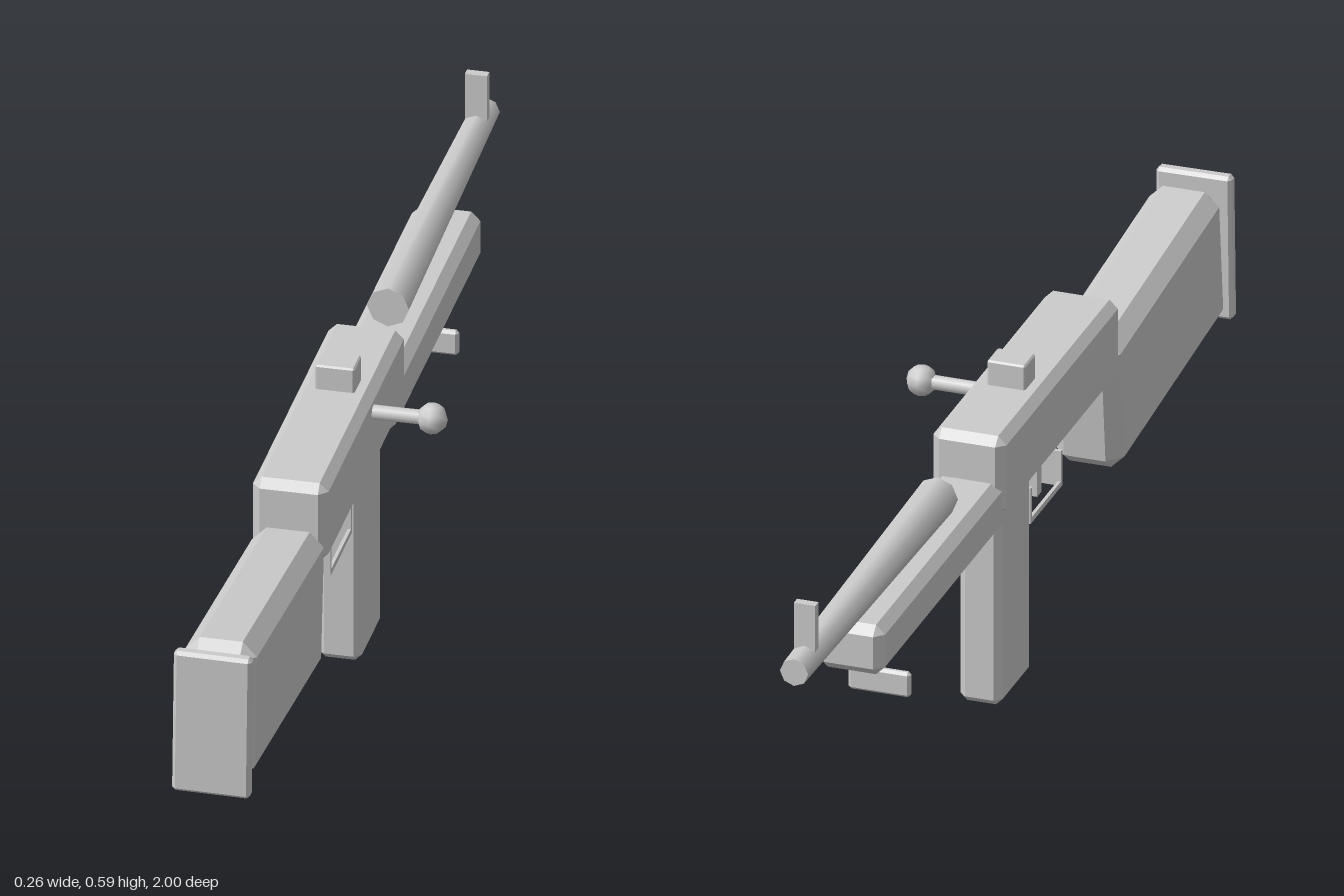
import * as THREE from 'three';
import { ConvexGeometry } from 'three/addons/geometries/ConvexGeometry.js';

const CX = -0.064; // centre plane of the body
const material = new THREE.MeshStandardMaterial({ color: 0xcccccc });

// Box with every edge chamfered by c
function chamferBox(w, h, d, c) {
  const points = [];
  for (const x of [-1, 1]) for (const y of [-1, 1]) for (const z of [-1, 1]) {
    const [a, b, e] = [w / 2, h / 2, d / 2];
    points.push(
      new THREE.Vector3(x * a, y * (b - c), z * (e - c)),
      new THREE.Vector3(x * (a - c), y * b, z * (e - c)),
      new THREE.Vector3(x * (a - c), y * (b - c), z * e));
  }
  return new ConvexGeometry(points);
}

export function createModel() {
  const group = new THREE.Group();

  function add(name, geometry, x, y, z, parent = group) {
    const mesh = new THREE.Mesh(geometry, material);
    mesh.name = name;
    mesh.position.set(x, y, z);
    parent.add(mesh);
    return mesh;
  }
  // Box given by its y and z ranges, optionally chamfered
  function block(name, w, [y0, y1], [z0, z1], c = 0, x = CX, parent = group) {
    const size = [w, y1 - y0, z1 - z0];
    const geometry = c ? chamferBox(...size, c) : new THREE.BoxGeometry(...size);
    return add(name, geometry, x, (y0 + y1) / 2, (z0 + z1) / 2, parent);
  }

  // Body
  block('receiver', 0.13, [0.383, 0.53], [-0.145, 0.435], 0.015);
  block('foreEnd', 0.118, [0.355, 0.447], [-0.73, -0.08], 0.016);
  block('magazine', 0.075, [0, 0.4], [-0.085, 0.07], 0.012);

  // Sloping shoulder stock with its end plate
  add('stock', chamferBox(0.124, 0.25, 0.54, 0.025), CX, 0.345, 0.695).rotation.x = -0.1;
  block('buttPlate', 0.134, [0.235, 0.5], [0.976, 1], 0.006).rotation.z = -0.012;

  // Tapered barrel
  const barrel = new THREE.CylinderGeometry(0.036, 0.025, 0.71, 8).rotateX(Math.PI / 2);
  add('barrel', barrel, CX, 0.483, -0.645);

  // Sights
  block('rearSight', 0.068, [0.52, 0.575], [0.047, 0.1], 0.003);
  block('frontSight', 0.038, [0.495, 0.586], [-0.948, -0.932]);

  // Bolt handle with knob
  const rod = new THREE.CylinderGeometry(0.013, 0.013, 0.11, 8).rotateZ(Math.PI / 2);
  add('boltHandle', rod, 0.035, 0.495, 0.093);
  add('boltKnob', new THREE.SphereGeometry(0.027, 8, 6), 0.102, 0.495, 0.093);

  // Trigger guard: two end plates joined by thin rails
  const guard = new THREE.Group();
  guard.name = 'triggerGuard';
  group.add(guard);
  for (const z of [0.095, 0.245]) {
    block('guardEnd', 0.056, [0.262, 0.326], [z - 0.004, z + 0.004], 0, CX, guard);
  }
  for (const side of [-1, 1]) {
    block('guardRail', 0.006, [0.26, 0.27], [0.091, 0.249], 0, CX + side * 0.025, guard);
  }
  block('trigger', 0.018, [0.268, 0.33], [0.177, 0.198]);

  // Sling swivel below the fore end
  block('slingSwivel', 0.11, [0.25, 0.296], [-0.582, -0.567], 0.005);

  return group;
}
